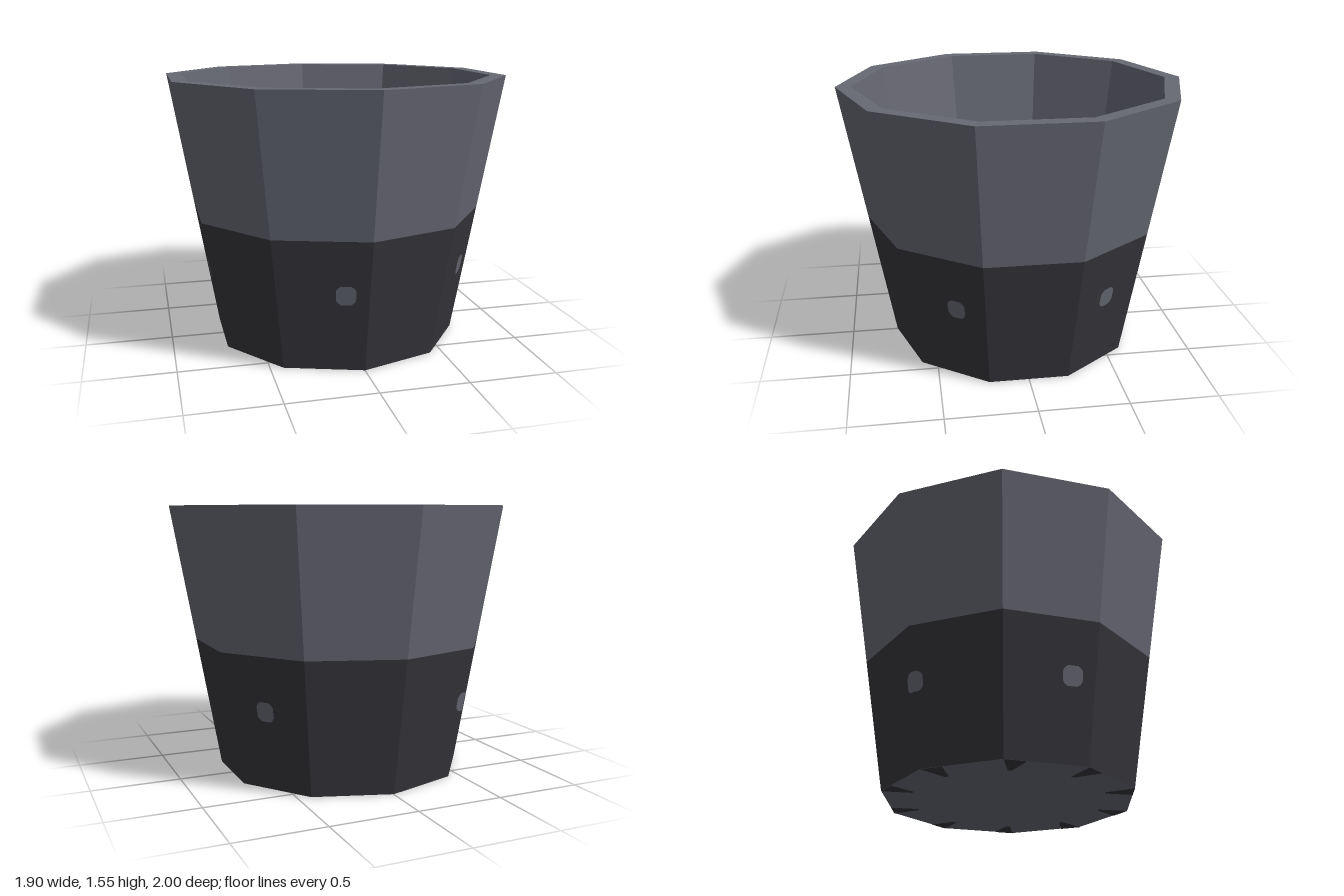
import * as THREE from 'three';

const SIDES = 10, STEP = Math.PI * 2 / SIDES, DEG = Math.PI / 180;
const H = 1.55, BAND = 0.765, R0 = 0.727, R1 = 1;
const FLOOR_Y = 0.075, FLOOR_R = 0.682, RIM_R = 0.911;
const outerRadius = y => R0 + (R1 - R0) * y / H;

// Point on the ten-sided outline of corner radius r, angle measured from +z
function onOutline(r, phi, y) {
  const k = phi - (Math.floor(phi / STEP + 1e-6) + 0.5) * STEP;
  const d = r * Math.cos(STEP / 2) / Math.cos(k);
  return [d * Math.sin(phi), y, d * Math.cos(phi)];
}

function faceted(geometry) {
  const g = geometry.index ? geometry.toNonIndexed() : geometry;
  g.computeVertexNormals();
  return g;
}

function shell(points) {
  return faceted(new THREE.LatheGeometry(points.map(p => new THREE.Vector2(...p)), SIDES));
}

// Thin rounded patch that follows the sloping wall
function wallPatch(phi) {
  const g = new THREE.PlaneGeometry(0.108, 0.11, 4, 4);
  const p = g.attributes.position;
  for (let i = 0; i < p.count; i++) {
    let x = p.getX(i), y = p.getY(i);
    if (Math.abs(x) > 0.05 && Math.abs(y) > 0.05) { x *= 0.8; y *= 0.8; }
    y += 0.455;
    p.setXYZ(i, ...onOutline(outerRadius(y) + 0.004, phi + x / 0.79, y));
  }
  return faceted(g);
}

// Ten pointed marks around the edge of a flat disc, facing up or down
function wedgeRing(r, y, up) {
  const v = [];
  for (let i = 0; i < SIDES; i++) {
    const c = i * STEP;
    const q = [
      onOutline(r, c, y), onOutline(r, c + 9.5 * DEG, y),
      onOutline(r * 0.78, c + 4 * DEG, y), onOutline(r * 0.77, c + 1.5 * DEG, y),
    ];
    if (!up) q.reverse();
    for (const k of [0, 1, 2, 0, 2, 3]) v.push(...q[k]);
  }
  const g = new THREE.BufferGeometry();
  g.setAttribute('position', new THREE.Float32BufferAttribute(v, 3));
  return faceted(g);
}

export function createModel() {
  const grey = new THREE.MeshStandardMaterial({ color: 0x666873 });
  grey.name = 'slate grey';
  const dark = new THREE.MeshStandardMaterial({ color: 0x36353b });
  dark.name = 'charcoal';

  const model = new THREE.Group();
  model.name = 'bucket';
  const add = (name, geometry, material) => {
    const mesh = new THREE.Mesh(geometry, material);
    mesh.name = name;
    model.add(mesh);
  };

  // Underside, dark lower wall, then upper wall, rim and inside
  add('underside', shell([[0, 0], [R0, 0]]), grey);
  add('lowerWall', shell([[R0, 0], [outerRadius(BAND), BAND]]), dark);
  add('upperWall', shell([[outerRadius(BAND), BAND], [R1, H]]), grey);
  add('rim', shell([[R1, H], [RIM_R, H]]), grey);
  add('innerWall', shell([[RIM_R, H], [FLOOR_R, FLOOR_Y]]), grey);
  add('floor', shell([[FLOOR_R, FLOOR_Y], [0, FLOOR_Y]]), grey);

  // Painted marks on the floor and underside
  add('floorMarks', wedgeRing(FLOOR_R, FLOOR_Y + 0.003, true), dark);
  add('undersideMarks', wedgeRing(R0, -0.002, false), dark);

  // Small light patches round the dark band
  for (const a of [-9, 59, 125, 216, 279]) add('wallPatch', wallPatch(a * DEG), grey);

  return model;
}
